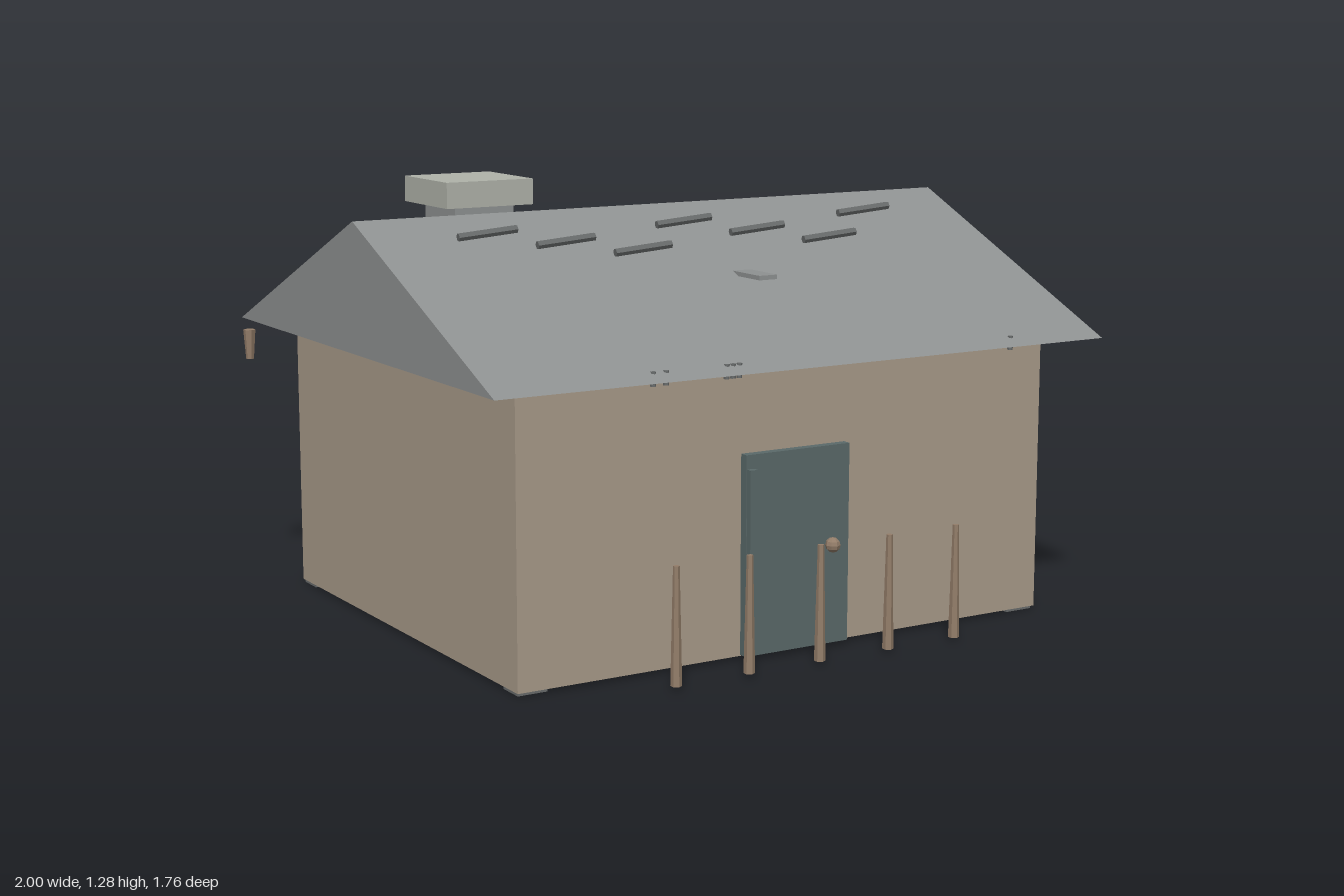
import * as THREE from 'three';

const mat = (name, color) => {
  const m = new THREE.MeshStandardMaterial({ color, flatShading: true });
  m.name = name;
  return m;
};

export function createModel() {
  const house = new THREE.Group();
  house.name = 'cottage';

  const wall = mat('sandstone', 0xa89a89);
  const roofGray = mat('roofSlate', 0x8e9191);
  const batten = mat('battenGray', 0x686b6b);
  const capStone = mat('capStone', 0xafb2a9);
  const teal = mat('doorTeal', 0x5a6969);
  const wood = mat('postWood', 0x937d69);

  const add = (name, geo, material, x, y, z, parent = house) => {
    const m = new THREE.Mesh(geo, material);
    m.name = name;
    m.position.set(x, y, z);
    parent.add(m);
    return m;
  };
  // Box given by its minimum and maximum on each axis
  const box = (name, material, [x0, x1], [y0, y1], [z0, z1], parent) =>
    add(name, new THREE.BoxGeometry(x1 - x0, y1 - y0, z1 - z0), material,
      (x0 + x1) / 2, (y0 + y1) / 2, (z0 + z1) / 2, parent);

  // Body and corner feet
  box('walls', wall, [-0.875, 0.875], [0.01, 0.83], [-0.725, 0.71]);
  for (const x of [-0.825, 0.825])
    for (const z of [-0.68, 0.66])
      add('foot', new THREE.BoxGeometry(0.09, 0.012, 0.08), batten, x, 0.006, z);

  // Solid gable roof: triangle in z/y extruded along x
  const gable = new THREE.Shape([
    new THREE.Vector2(-0.838, 0.83),
    new THREE.Vector2(0.862, 0.83),
    new THREE.Vector2(0.012, 1.205),
  ]);
  const roofGeo = new THREE.ExtrudeGeometry(gable, { depth: 2, bevelEnabled: false });
  roofGeo.translate(0, 0, -1).rotateY(Math.PI / 2);
  add('roof', roofGeo, roofGray, 0, 0, 0);

  // Chimney
  box('chimneyStack', roofGray, [-0.57, -0.375], [0.98, 1.205], [-0.436, -0.237]);
  box('chimneyCap', capStone, [-0.615, -0.33], [1.203, 1.28], [-0.483, -0.198]);

  // Battens scattered over both slopes
  const stickGeo = new THREE.CylinderGeometry(0.012, 0.012, 0.18, 6).rotateZ(Math.PI / 2);
  const rows = [[0.132, 1.166], [0.197, 1.138], [0.262, 1.11]];
  for (let i = 0; i < 7; i++) {
    const [z, y] = rows[i % 3];
    for (const s of [1, -1]) {
      const stick = add('roofBatten', stickGeo, batten, -0.652 + i * 0.2155, y, s * (z + 0.014) - 0.014);
      stick.rotation.set(0, s > 0 ? -0.06 : 0.06, 0.085);
    }
  }

  // Loose flat shingles jutting from the slopes
  box('shingle', roofGray, [0.02, 0.08], [1.028, 1.041], [0.34, 0.5]);
  for (const x of [0.12, 0.3])
    box('shingle', roofGray, [x - 0.03, x + 0.03], [1.028, 1.041], [-0.525, -0.36]);

  // Nails along both eaves
  const nailGeo = new THREE.CylinderGeometry(0.008, 0.008, 0.04, 6);
  for (const x of [-0.505, -0.465, -0.275, -0.255, -0.235, 0.695])
    add('eaveNail', nailGeo, batten, x, 0.834, 0.79);
  for (const x of [-0.45, -0.305, -0.13, 0.21, 0.285, 0.715, 0.82])
    add('eaveNail', nailGeo, batten, x, 0.834, -0.818);

  // Tapered pegs below the rear roof corners
  const pegGeo = new THREE.CylinderGeometry(0.019, 0.012, 0.092, 6);
  for (const x of [-0.977, 0.97]) add('cornerPeg', pegGeo, wood, x, 0.744, -0.862);

  // Fence posts in front
  const postGeo = new THREE.CylinderGeometry(0.009, 0.016, 0.33, 6);
  for (let i = 0; i < 5; i++) add('fencePost', postGeo, wood, -0.477 + i * 0.233, 0.175, 0.862);

  // Door
  box('door', teal, [-0.175, 0.17], [0.013, 0.585], [0.7, 0.737]);
  box('doorEdge', teal, [-0.173, -0.15], [0.02, 0.545], [0.73, 0.755]);
  add('doorKnob', new THREE.SphereGeometry(0.022, 8, 6), wood, 0.103, 0.303, 0.757);

  // Rear windows with shutters and bars
  const barGeo = new THREE.CylinderGeometry(0.007, 0.007, 0.25, 6).rotateZ(Math.PI / 2);
  for (const x of [-0.56, 0.56]) {
    const win = new THREE.Group();
    win.name = 'rearWindow';
    win.position.x = x;
    house.add(win);
    box('glass', teal, [-0.09, 0.09], [0.36, 0.665], [-0.745, -0.72], win);
    for (const s of [-1, 1])
      add('shutter', new THREE.BoxGeometry(0.085, 0.335, 0.06), wall, s * 0.108, 0.512, -0.748, win);
    for (const y of [0.405, 0.512, 0.62]) add('windowBar', barGeo, batten, 0, y, -0.778, win);
  }
  return house;
}
